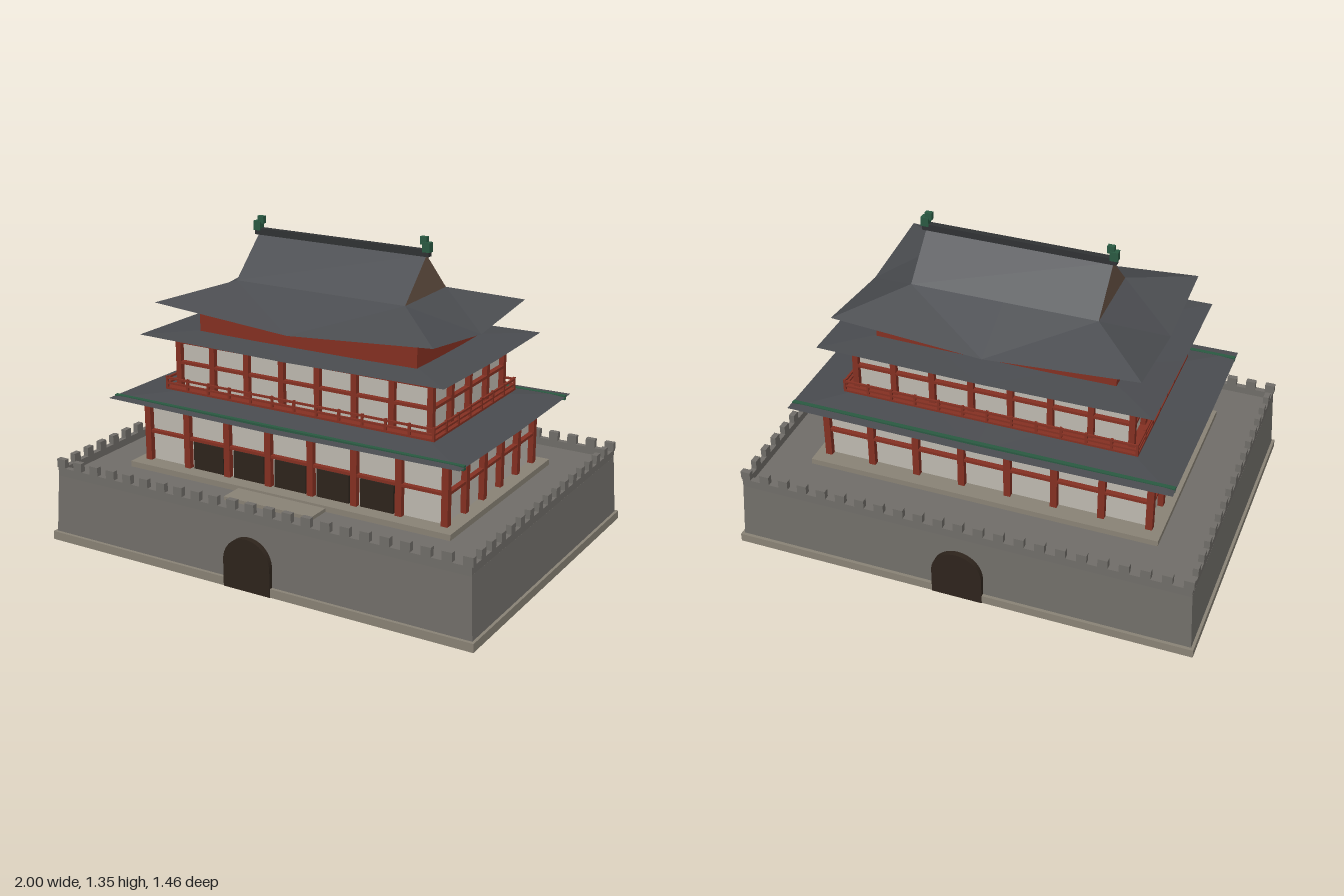
import * as THREE from 'three';

const mat = (color, extra = {}) => new THREE.MeshStandardMaterial({ color, roughness: 0.9, ...extra });

export function createModel() {
  const model = new THREE.Group();
  const stone = mat(0x716e69), trim = mat(0x8a8376), plaster = mat(0xbfbab0), red = mat(0x853022);
  const dark = mat(0x2e241c), green = mat(0x2a5a42), ridgeMat = mat(0x303234);
  const tile = mat(0x4a4c50, { side: THREE.DoubleSide, flatShading: true });
  const gableMat = mat(0x6b5546, { side: THREE.DoubleSide, flatShading: true });

  const group = (name) => {
    const g = new THREE.Group();
    g.name = name;
    model.add(g);
    return g;
  };
  const add = (parent, name, geo, material) => {
    const m = new THREE.Mesh(geo, material);
    m.name = name;
    parent.add(m);
    return m;
  };
  // Box given by its centre in x and z, and its lower and upper height
  const box = (parent, name, material, w, y0, y1, d, x = 0, z = 0) => {
    const m = add(parent, name, new THREE.BoxGeometry(w, y1 - y0, d), material);
    m.position.set(x, (y0 + y1) / 2, z);
    return m;
  };
  // Mesh from a flat list of triangle corners
  const facets = (parent, name, pos, material) => {
    const geo = new THREE.BufferGeometry();
    geo.setAttribute('position', new THREE.Float32BufferAttribute(pos, 3));
    geo.computeVertexNormals();
    return add(parent, name, geo, material);
  };
  const spread = (n, half) => Array.from({ length: n }, (_, i) => -half + (2 * half * i) / (n - 1));

  // Stone base with tapered walls
  const base = group('stoneBase');
  box(base, 'plinth', trim, 2, 0, 0.037, 1.454);
  const wallGeo = new THREE.BoxGeometry(1.976, 0.26, 1.426);
  const wp = wallGeo.attributes.position;
  for (let i = 0; i < wp.count; i++) {
    if (wp.getY(i) > 0) wp.setXYZ(i, wp.getX(i) * 0.985, wp.getY(i), wp.getZ(i) * 0.984);
  }
  wallGeo.computeVertexNormals();
  add(base, 'wall', wallGeo, stone).position.y = 0.165;

  // Parapet and merlons
  for (const s of [-1, 1]) {
    box(base, 'parapet', stone, 1.946, 0.29, 0.327, 0.024, 0, s * 0.69);
    box(base, 'parapet', stone, 0.024, 0.29, 0.327, 1.4, s * 0.961, 0);
    for (const x of spread(23, 0.957)) box(base, 'merlon', stone, 0.042, 0.327, 0.365, 0.024, x, s * 0.69);
    for (const z of spread(17, 0.69).slice(1, -1)) {
      box(base, 'merlon', stone, 0.024, 0.327, 0.365, 0.038, s * 0.961, z);
    }
  }

  // Arched gates front and back
  const arch = new THREE.Shape();
  arch.moveTo(-0.11, 0);
  arch.lineTo(0.11, 0);
  arch.lineTo(0.11, 0.115);
  arch.absarc(0, 0.115, 0.11, 0, Math.PI, false);
  arch.lineTo(-0.11, 0);
  const archGeo = new THREE.ExtrudeGeometry(arch, { depth: 0.05, bevelEnabled: false, curveSegments: 16 });
  for (const s of [-1, 1]) {
    const gate = add(base, 'gate', archGeo, dark);
    gate.position.z = s * 0.68;
    if (s < 0) gate.rotation.y = Math.PI;
  }

  // Terrace under the hall and front step
  box(base, 'terrace', trim, 1.535, 0.29, 0.32, 0.94);
  box(base, 'frontStep', trim, 0.42, 0.29, 0.31, 0.12, 0, 0.515);

  // A storey: plaster core, square posts and rails all round
  function storey(name, hx, hz, y0, y1, nx, nz, midY, post) {
    const g = group(name);
    box(g, 'plasterWall', plaster, 2 * hx - 0.02, y0, y1 - 0.005, 2 * hz - 0.02);
    const column = (x, z) => box(g, 'column', red, post, y0, y1, post, x, z);
    for (const s of [-1, 1]) {
      for (const x of spread(nx, hx)) column(x, s * hz);
      for (const z of spread(nz, hz).slice(1, -1)) column(s * hx, z);
      for (const [a, b] of [[y1 - 0.02, y1], [midY - 0.006, midY + 0.006]]) {
        box(g, 'beam', red, 2 * hx + 0.02, a, b, 0.024, 0, s * hz);
        box(g, 'beam', red, 0.024, a, b, 2 * hz + 0.02, s * hx, 0);
      }
    }
    return g;
  }
  const lower = storey('lowerStorey', 0.712, 0.4, 0.315, 0.59, 8, 6, 0.452, 0.029);
  for (const x of spread(5, 0.406)) box(lower, 'door', dark, 0.15, 0.32, 0.44, 0.03, x, 0.388);
  storey('upperStorey', 0.599, 0.32, 0.645, 0.86, 8, 5, 0.755, 0.025);

  // Balcony with railing
  const balcony = group('balcony');
  box(balcony, 'floor', red, 1.28, 0.641, 0.65, 0.744);
  for (const s of [-1, 1]) {
    for (const y of [0.668, 0.69]) {
      box(balcony, 'rail', red, 1.28, y - 0.004, y + 0.004, 0.009, 0, s * 0.367);
      box(balcony, 'rail', red, 0.009, y - 0.004, y + 0.004, 0.74, s * 0.635, 0);
    }
    for (const x of spread(13, 0.635)) box(balcony, 'post', red, 0.01, 0.645, 0.698, 0.01, x, s * 0.367);
    for (const z of spread(8, 0.367).slice(1, -1)) box(balcony, 'post', red, 0.01, 0.645, 0.698, 0.01, s * 0.635, z);
  }
  const attic = group('attic');
  box(attic, 'redWall', red, 1.03, 0.885, 0.983, 0.57);

  // Hipped skirt: eight-point eave ring with lifted corners, rising to an inner ring, closed below
  function skirt(name, ox, oz, cornerY, midY, ix, iz, innerY) {
    const dirs = [[1, 1], [1, 0], [1, -1], [0, -1], [-1, -1], [-1, 0], [-1, 1], [0, 1]];
    const outer = dirs.map(([a, b], i) => [a * ox, i % 2 ? midY : cornerY, b * oz]);
    const inner = dirs.map(([a, b]) => [a * ix, innerY, b * iz]);
    const pos = [];
    for (let i = 0; i < 8; i++) {
      const j = (i + 1) % 8, A = outer[i], B = outer[j], C = inner[i], D = inner[j];
      const tris = i % 2 ? [A, B, D, A, D, C] : [A, B, C, C, B, D];
      // Soffit: a sloping triangle at each corner and a level middle
      if (i % 2) {
        const E = outer[(i + 2) % 8];
        tris.push(A, E, B, A, [0, midY, 0], E);
      }
      tris.forEach((p) => pos.push(...p));
    }
    facets(model, name, pos, tile);
  }
  skirt('lowerEave', 0.827, 0.526, 0.611, 0.603, 0.42, 0.18, 0.641);
  skirt('middleEave', 0.713, 0.442, 0.887, 0.879, 0.4, 0.18, 0.898);
  skirt('topRoofSkirt', 0.65, 0.415, 1.028, 0.981, 0.4, 0.175, 1.103);
  for (const s of [-1, 1]) box(model, 'eaveStrip', green, 1.65, 0.598, 0.617, 0.018, 0, s * 0.478);

  // Gabled upper roof: two slopes and two end triangles
  const top = group('gabledRoof');
  const slopes = [], ends = [];
  for (const s of [-1, 1]) {
    const a = [-s * 0.4, 1.103, s * 0.175], b = [s * 0.4, 1.103, s * 0.175];
    const c = [s * 0.4, 1.272, 0], d = [-s * 0.4, 1.272, 0];
    slopes.push(...a, ...b, ...c, ...a, ...c, ...d);
    ends.push(...b, s * 0.4, 1.103, -s * 0.175, ...c);
  }
  facets(top, 'slopes', slopes, tile);
  facets(top, 'gables', ends, gableMat);

  // Ridge beam and green end ornaments
  box(top, 'ridge', ridgeMat, 0.83, 1.267, 1.295, 0.026);
  for (const s of [-1, 1]) {
    box(top, 'ridgeOrnament', green, 0.034, 1.285, 1.325, 0.03, s * 0.403, 0);
    box(top, 'ridgeOrnamentTip', green, 0.03, 1.315, 1.347, 0.02, s * 0.388, 0);
  }
  return model;
}
